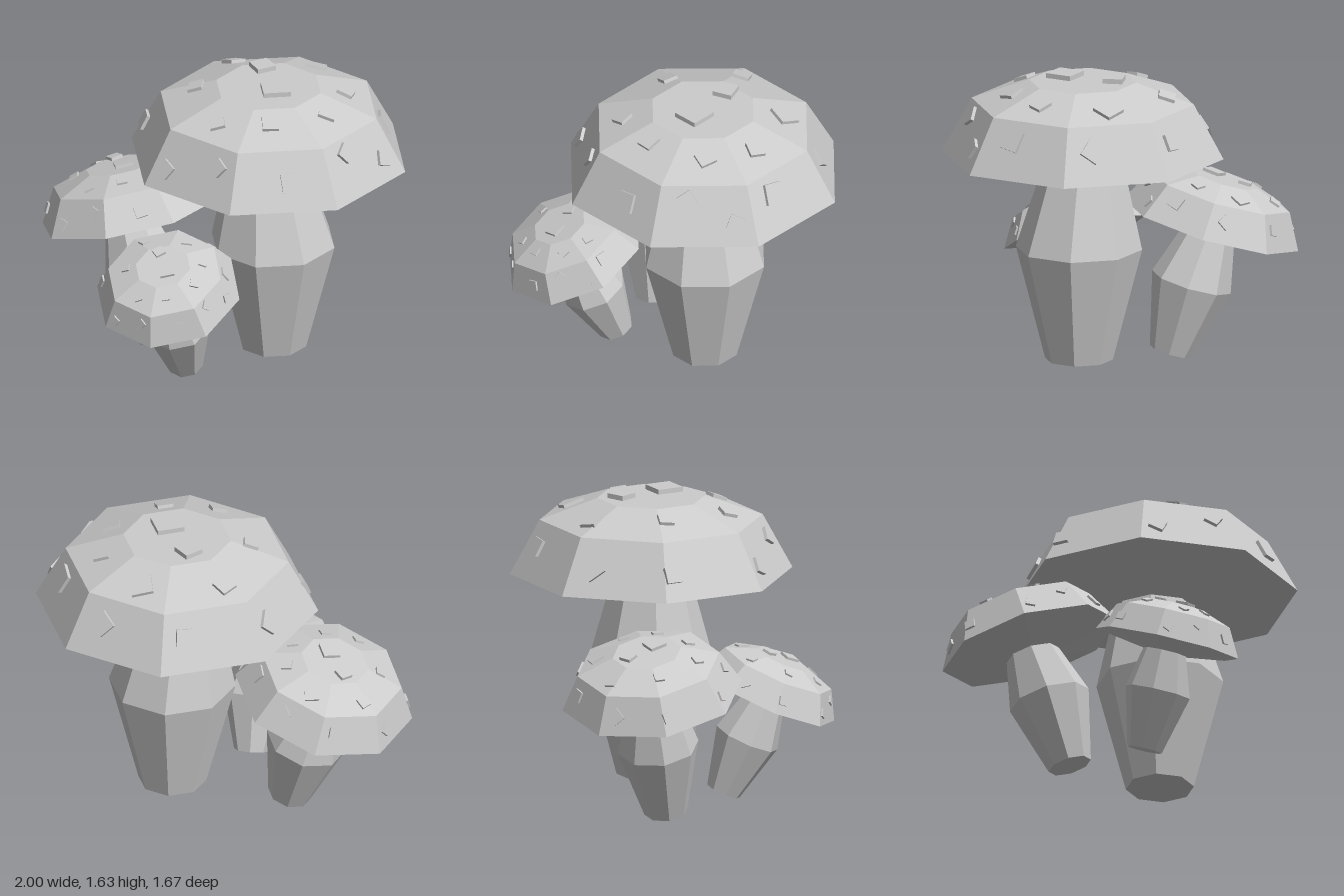
import * as THREE from 'three';

const V = (x, y, z) => new THREE.Vector3(x, y, z);
const P = (pts) => pts.map(([r, y]) => new THREE.Vector2(r, y));

// Profiles are measured from the centre of the cap rim
const RIM = 0.747, SHOULDER = 0.59, CROWN = 0.285;
const SHOULDER_Y = 0.29, CROWN_Y = 0.4;

// Wart positions on the cap seen from above: x, z, size, turn, lift
const WARTS = [
  [0.06, 0.075, 0.145, 0.4, 0.025], [-0.08, -0.165, 0.105, 0.75, 0.025],
  [-0.29, -0.345, 0.09, 0.9, 0], [0.14, -0.405, 0.115, 0.2, 0],
  [0.38, -0.135, 0.085, 0, 0], [0.36, 0.14, 0.09, 0.1, 0],
  [0.11, 0.355, 0.085, 0.35, 0], [-0.17, 0.385, 0.08, 0.35, 0],
  [-0.385, 0.035, 0.08, 0.1, 0],
  [-0.11, -0.61, 0.09, 0.3, 0], [0.33, -0.52, 0.1, 0.5, 0],
  [0.58, -0.15, 0.11, 0.2, 0], [0.65, 0.09, 0.08, 0.8, 0],
  [0.5, 0.305, 0.08, 0.2, 0], [0.28, 0.555, 0.1, 0.5, 0],
  [-0.1, 0.6, 0.075, 0.6, 0], [-0.41, 0.52, 0.08, 0.7, 0],
  [-0.66, 0.04, 0.085, 0.4, 0], [-0.52, -0.365, 0.1, 0.3, 0],
];

// Height and facet normal of the eight-sided cap at (x, z)
function capSurface(x, z) {
  const step = Math.PI / 4;
  const a = (Math.floor(Math.atan2(z, x) / step) + 0.5) * step;
  const apothem = Math.cos(step / 2);
  const r = (x * Math.cos(a) + z * Math.sin(a)) / apothem;
  if (r <= CROWN) return { y: CROWN_Y, normal: V(0, 1, 0) };
  const [r0, y0, r1, y1] = r < SHOULDER
    ? [CROWN, CROWN_Y, SHOULDER, SHOULDER_Y] : [SHOULDER, SHOULDER_Y, RIM, 0];
  const slope = (y1 - y0) / (r1 - r0);
  const k = -slope / apothem;
  return {
    y: y0 + (r - r0) * slope,
    normal: V(k * Math.cos(a), 1, k * Math.sin(a)).normalize(),
  };
}

function makeMushroom(name, material) {
  const mushroom = new THREE.Group();
  mushroom.name = name;
  const add = (part, geometry) => {
    const mesh = new THREE.Mesh(geometry, material);
    mesh.name = part;
    mushroom.add(mesh);
    return mesh;
  };

  // Faceted cap with a shallow underside
  add('cap', new THREE.LatheGeometry(P([
    [0, -0.09], [0.22, -0.09], [RIM, 0], [SHOULDER, SHOULDER_Y], [CROWN, CROWN_Y], [0, CROWN_Y],
  ]), 8));

  // Bulging stem, leaning slightly towards the foot
  const stem = new THREE.LatheGeometry(P([
    [0, -1.1], [0.18, -1.1], [0.335, -0.5], [0.22, -0.08],
  ]), 8);
  const pos = stem.attributes.position;
  for (let i = 0; i < pos.count; i++) {
    pos.setX(i, pos.getX(i) + (pos.getY(i) < -0.3 ? 0.025 : -0.005));
  }
  add('stem', stem);

  // Square warts lying on the cap facets
  const slab = new THREE.BoxGeometry(1, 0.026, 1);
  for (const [x, z, size, turn, lift] of WARTS) {
    const { y, normal } = capSurface(x, z);
    const wart = add('wart', slab);
    wart.scale.set(size, 1, size);
    wart.position.set(x, y, z).addScaledVector(normal, 0.005 + lift);
    wart.quaternion.setFromUnitVectors(V(0, 1, 0), normal);
    wart.rotateY(turn);
  }
  return mushroom;
}

export function createModel() {
  const material = new THREE.MeshStandardMaterial({ color: 0xcccccc, flatShading: true });
  material.name = 'pale grey';
  const model = new THREE.Group();
  model.name = 'mushroomCluster';

  // name, rim centre, up direction, side direction, scale
  const cluster = [
    ['tallMushroom', V(0.25, 1.19, -0.095), V(0, 1, 0), V(1, 0, 0), 1],
    ['leaningMushroom', V(-0.535, 0.708, -0.175), V(-0.249, 0.959, -0.134), V(0.465, 0.118, -0.025), 0.643],
    ['smallMushroom', V(-0.135, 0.6, 0.475), V(-0.03, 0.918, 0.395), V(0.385, 0.0125, 0), 0.52],
  ];
  for (const [name, centre, up, side, scale] of cluster) {
    const mushroom = makeMushroom(name, material);
    const y = up.normalize();
    const z = side.clone().cross(y).normalize();
    const x = y.clone().cross(z);
    mushroom.quaternion.setFromRotationMatrix(new THREE.Matrix4().makeBasis(x, y, z));
    mushroom.position.copy(centre);
    mushroom.scale.setScalar(scale);
    model.add(mushroom);
  }
  return model;
}
